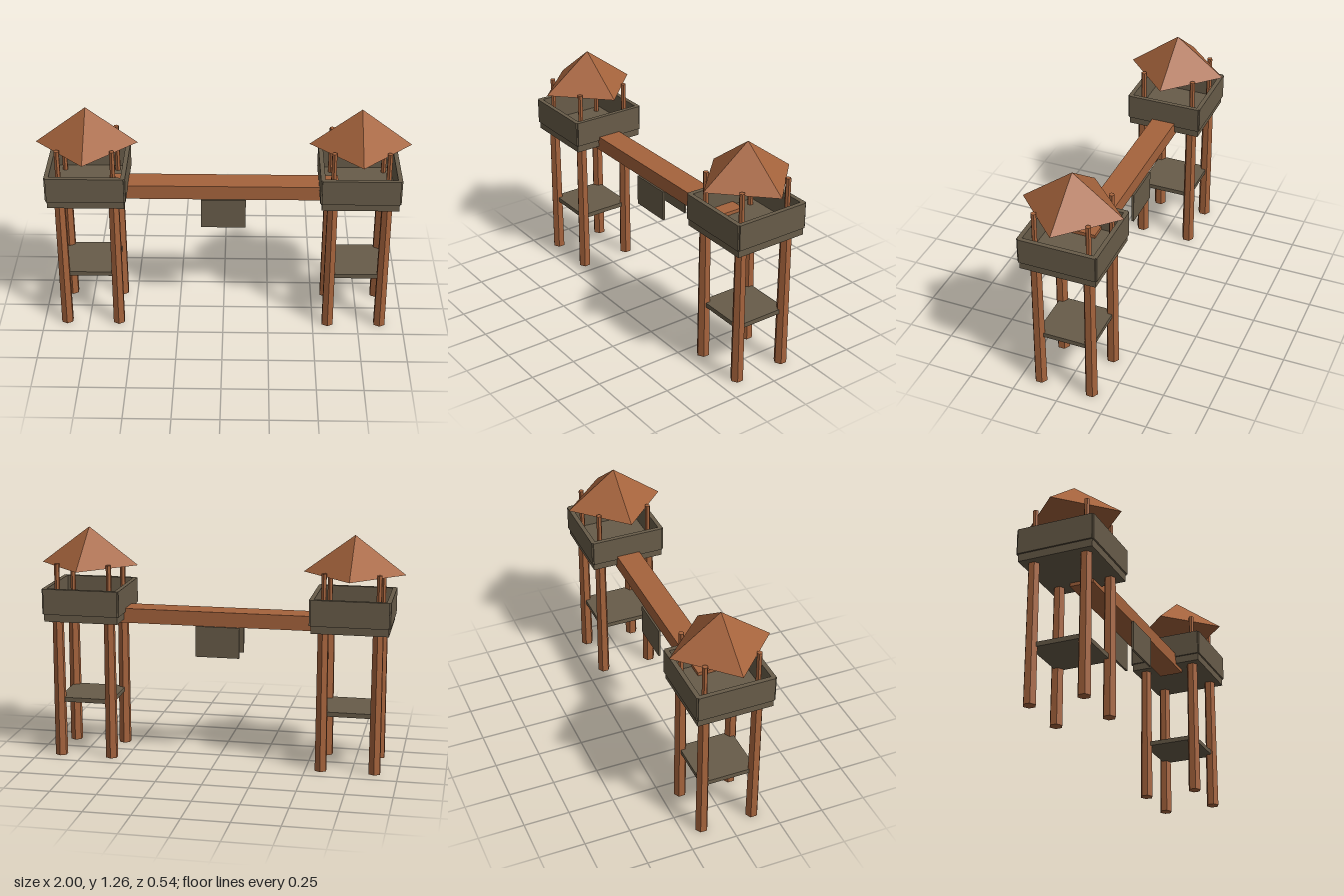
import * as THREE from 'three';

export function createModel() {
  const model = new THREE.Group();
  model.name = 'twinTowerBridge';

  const wood = new THREE.MeshStandardMaterial({ color: 0xa5633c, flatShading: true });
  wood.name = 'red wood';
  const plank = new THREE.MeshStandardMaterial({ color: 0x685c49, flatShading: true });
  plank.name = 'grey plank';

  const add = (parent, name, geometry, material, x, y, z) => {
    const mesh = new THREE.Mesh(geometry, material);
    mesh.name = name;
    mesh.position.set(x, y, z);
    parent.add(mesh);
  };
  const box = (w, h, d) => new THREE.BoxGeometry(w, h, d);

  // Two identical towers
  for (const side of [-1, 1]) {
    const tower = new THREE.Group();
    tower.name = side > 0 ? 'leftTower' : 'rightTower';
    tower.position.x = side * 0.728;
    model.add(tower);

    // Tapered legs and slim roof posts at the four corners
    for (const x of [-0.145, 0.145]) {
      for (const z of [-0.145, 0.145]) {
        add(tower, 'leg', new THREE.CylinderGeometry(0.031, 0.035, 0.775, 6), wood, x, 0.3875, z);
        add(tower, 'roofPost', new THREE.CylinderGeometry(0.015, 0.015, 0.28, 6), wood, x, 0.94, z);
      }
    }

    // Lower shelf and upper deck
    add(tower, 'shelf', box(0.305, 0.025, 0.305), plank, 0, 0.318, 0);
    add(tower, 'deck', box(0.41, 0.042, 0.41), plank, 0, 0.79, 0);

    // Parapet walls, leaving small notches at the corners
    for (const s of [-1, 1]) {
      add(tower, 'parapet', box(0.412, 0.14, 0.024), plank, 0, 0.88, s * 0.202);
      add(tower, 'parapet', box(0.024, 0.14, 0.412), plank, s * 0.202, 0.88, 0);
    }

    // Pyramid roof with its corners on the axes
    add(tower, 'roof', new THREE.ConeGeometry(0.272, 0.205, 4), wood, 0, 1.1625, 0);
  }

  // Beam between the towers, with a hanging panel on each side
  add(model, 'bridge', box(1.24, 0.08, 0.134), wood, 0, 0.79, 0);
  for (const s of [-1, 1]) {
    add(model, 'hangingPanel', box(0.242, 0.17, 0.012), plank, 0, 0.665, s * 0.071);
  }

  return model;
}
